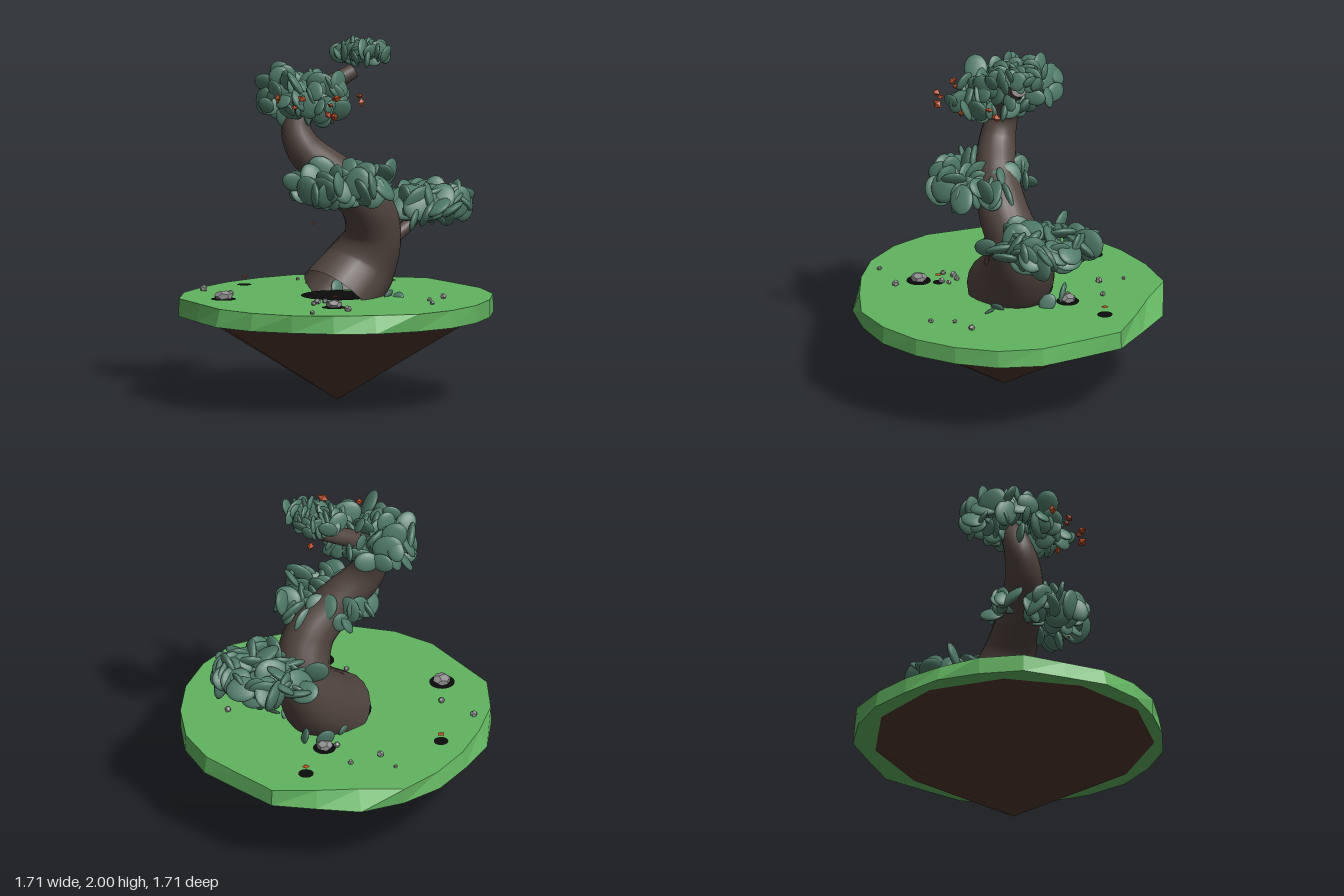
import * as THREE from 'three';
import { mergeGeometries } from 'three/addons/utils/BufferGeometryUtils.js';

const paint = (name, color, extra = {}) => {
  const m = new THREE.MeshStandardMaterial({ color, ...extra });
  m.name = name;
  return m;
};

function seeded(seed) {
  return () => {
    seed = (seed * 1664525 + 1013904223) % 4294967296;
    return seed / 4294967296;
  };
}

// Tube whose radius follows a list spread along its control points
function taperedTube(points, radii, rings, sides) {
  const curve = new THREE.CatmullRomCurve3(points.map(p => new THREE.Vector3(...p)));
  const geo = new THREE.TubeGeometry(curve, rings, 1, sides);
  const pos = geo.attributes.position, v = new THREE.Vector3();
  for (let i = 0; i <= rings; i++) {
    const u = i / rings, t = curve.getUtoTmapping(u) * (radii.length - 1);
    const k = Math.min(Math.floor(t), radii.length - 2);
    const r = THREE.MathUtils.lerp(radii[k], radii[k + 1], t - k);
    const centre = curve.getPointAt(u);
    for (let j = 0; j <= sides; j++) {
      const n = i * (sides + 1) + j;
      v.fromBufferAttribute(pos, n).sub(centre).multiplyScalar(r).add(centre);
      pos.setXYZ(n, v.x, v.y, v.z);
    }
  }
  return geo;
}

// One flattened leaf pad, thin along its own z
function leaf(x, y, z, r, tilt, yaw, roll) {
  const g = new THREE.SphereGeometry(1, 14, 10);
  const q = new THREE.Quaternion().setFromEuler(new THREE.Euler(tilt, yaw, roll, 'YXZ'));
  return g.applyMatrix4(new THREE.Matrix4().compose(
    new THREE.Vector3(x, y, z), q, new THREE.Vector3(r, r * 0.8, r * 0.27)));
}

// Cloud of leaves spread through an ellipsoid of the given outer half sizes
function leafCloud(centre, half, count, rMin, rMax, lean, seed) {
  const rand = seeded(seed), leaves = [];
  for (let i = 0; i < count; i++) {
    const r = rMin + (rMax - rMin) * rand();
    const h = rand() * 2 - 1, a = i * 2.39996, d = 0.35 + 0.65 * Math.sqrt(rand());
    const s = Math.pow(1 - h * h, 0.35) * d;
    leaves.push(leaf(
      centre[0] + Math.cos(a) * s * (half[0] - r * 0.7),
      centre[1] + h * d * (half[1] - r * 0.8),
      centre[2] + Math.sin(a) * s * (half[2] - r * 0.7),
      r, (rand() - 0.5) * lean, rand() * Math.PI * 2, rand() * Math.PI));
  }
  return mergeGeometries(leaves);
}

export function createModel() {
  const group = new THREE.Group();
  const grass = paint('grass green', 0x62b460, { flatShading: true });
  const soil = paint('dark soil', 0x50352c, { flatShading: true });
  const bark = paint('bark brown', 0x51443f, { side: THREE.DoubleSide });
  const foliage = paint('leaf green', 0x4f7a69);
  const stone = paint('stone grey', 0x8e8e8e, { flatShading: true });
  const rust = paint('rust orange', 0xb84a20, { flatShading: true });
  const black = paint('black earth', 0x0b0b0b);
  const add = (name, geo, mat, x = 0, y = 0, z = 0) => {
    const m = new THREE.Mesh(geo, mat);
    m.name = name;
    m.position.set(x, y, z);
    group.add(m);
    return m;
  };
  const TOP = 0.573;

  // Grass slab with an uneven rim
  const topR = [.85, .85, .85, .85, .86, .85, .83, .875, .81, .80, .88, .84,
    .82, .82, .855, .875, .82, .835, .83, .82, .80, .80];
  const lowR = [.84, .855, .85, .85, .865, .865, .84, .88, .85, .885, .87, .86,
    .84, .865, .86, .88, .84, .865, .85, .82, .82, .84];
  const slab = new THREE.CylinderGeometry(1, 1, 0.098, 22, 1);
  const sp = slab.attributes.position;
  for (let i = 0; i < sp.count; i++) {
    const x = sp.getX(i), z = sp.getZ(i);
    if (Math.hypot(x, z) < 0.5) continue;
    const k = (Math.round(Math.atan2(x, z) / (Math.PI * 2 / 22)) + 22) % 22;
    const r = (sp.getY(i) > 0 ? topR : lowR)[k];
    sp.setX(i, x * r);
    sp.setZ(i, z * r);
  }
  add('grassSlab', slab, grass, 0, TOP - 0.049, 0);

  // Pointed underside
  const cone = new THREE.ConeGeometry(0.8, 0.49, 11, 1);
  cone.rotateX(Math.PI);
  add('soilCone', cone, soil, 0, 0.245, 0).rotation.y = -0.13;

  // Twisting trunk and its side branches
  add('trunk', taperedTube([
    [0, .57, 0], [.16, .73, -.02], [.22, .9, .015], [.14, 1.09, .06], [-.04, 1.25, .03],
    [-.19, 1.4, -.04], [-.21, 1.53, -.085], [-.08, 1.69, -.08], [.125, 1.81, -.035],
  ], [.22, .2, .155, .14, .12, .1, .08, .055, .042], 60, 20), bark);
  const tip = add('trunkTip', new THREE.CircleGeometry(0.042, 20), bark, .125, 1.81, -.035);
  tip.lookAt(.33, 1.93, .01);
  add('sideBranch', taperedTube([[.24, .84, .02], [.4, .91, .02], [.56, 1.02, 0]],
    [.05, .038, .025], 12, 12), bark);
  add('middleBranch', taperedTube([[.05, 1.16, .05], [-.08, 1.2, .14], [-.15, 1.24, .2]],
    [.05, .035, .025], 10, 10), bark);

  // Leaf clouds: centre, half sizes, count, leaf radius range, lean
  [
    ['rightLeaves', [.56, 1.05, -.02], [.28, .15, .35], 62, .07, .115, 2.2],
    ['middleLeaves', [-.07, 1.225, .13], [.33, .155, .33], 74, .06, .095, 1.3],
    ['upperLeaves', [-.17, 1.69, -.07], [.27, .18, .37], 84, .05, .095, 1.2],
    ['crownLeaves', [.165, 1.915, 0], [.185, .087, .21], 46, .04, .065, 1.2],
  ].forEach(([name, c, h, n, a, b, lean], i) =>
    add(name, leafCloud(c, h, n, a, b, lean, 71 + i * 37), foliage));
  add('strayLeaves', mergeGeometries([
    leaf(.21, 1.27, .2, .08, .2, .4, 1.4), leaf(.34, 1.0, .25, .07, .3, .9, .6),
    leaf(.32, 1.06, -.2, .08, .2, 2.3, .8),
  ]), foliage);

  // Sprouts at the foot of the trunk
  add('footLeaves', mergeGeometries([
    leaf(.24, .575, .14, .045, .5, .6, .4), leaf(.33, .6, -.12, .055, -.3, 1, .9),
    leaf(.27, .575, .2, .035, .6, 2, .2), leaf(.28, .62, -.23, .06, .2, 2.6, 1),
    leaf(.12, .59, -.2, .05, -.4, .3, .6),
  ]), foliage);

  // Dark earth patches: x, z, radius
  [[0, 0, .2], [-.61, -.2, .07], [-.265, .4, .067], [.305, -.25, .063],
    [-.215, -.63, .04], [.55, -.37, .042], [-.2, .31, .03]].forEach(([x, z, r]) => {
    const patch = new THREE.CircleGeometry(r, 28);
    patch.rotateX(-Math.PI / 2);
    add('earthPatch', patch, black, x, TOP + 0.004, z);
  });

  // Rocks
  [[-.61, -.2, .052], [-.265, .4, .047], [.305, -.25, .047]].forEach(([x, z, r], i) => {
    const rock = add('rock', new THREE.DodecahedronGeometry(r), stone, x, TOP + 0.022, z);
    rock.scale.y = 0.55;
    rock.rotation.y = i;
  });

  // Pebbles: x, z, radius
  [[-.52, -.56, .02], [-.48, -.34, .018], [.14, -.65, .011], [.125, -.51, .02], [.3, -.46, .016],
    [.24, -.28, .018], [.45, .38, .018], [.33, .43, .013], [.275, .55, .014], [-.26, .54, .02],
    [-.49, .54, .014], [-.2, .29, .018], [-.25, .2, .019], [-.2, .2, .016], [-.17, .26, .014],
    [-.3, .24, .015]].forEach(([x, z, r], i) => {
    const pebble = add('pebble', new THREE.DodecahedronGeometry(r), stone, x, TOP + r * 0.6, z);
    pebble.rotation.set(i, i * 2, 0);
  });

  // Drifting and fallen petals: x, y, z, size
  [[-.4, 1.7, .03, .03], [-.33, 1.71, .17, .03], [-.2, 1.72, .32, .034], [-.24, 1.63, .3, .032],
    [-.22, 1.68, .29, .022], [-.14, 1.6, .2, .026], [.1, 1.65, .09, .034], [.07, 1.69, .12, .024],
    [-.36, 1.66, .14, .024], [-.27, 1.02, .2, .012]].forEach(([x, y, z, s], i) => {
    const petal = add('petal', new THREE.OctahedronGeometry(s), rust, x, y, z);
    petal.scale.set(0.6, 1, 0.75);
    petal.rotation.set(i * 1.3, i * 2.1, i * 0.7);
  });
  [[-.215, -.63], [.55, -.37], [-.2, .31]].forEach(([x, z], i) => {
    const petal = add('fallenPetal', new THREE.OctahedronGeometry(0.022), rust, x, TOP + 0.05, z);
    petal.scale.y = 0.25;
    petal.rotation.y = i;
  });

  return group;
}
